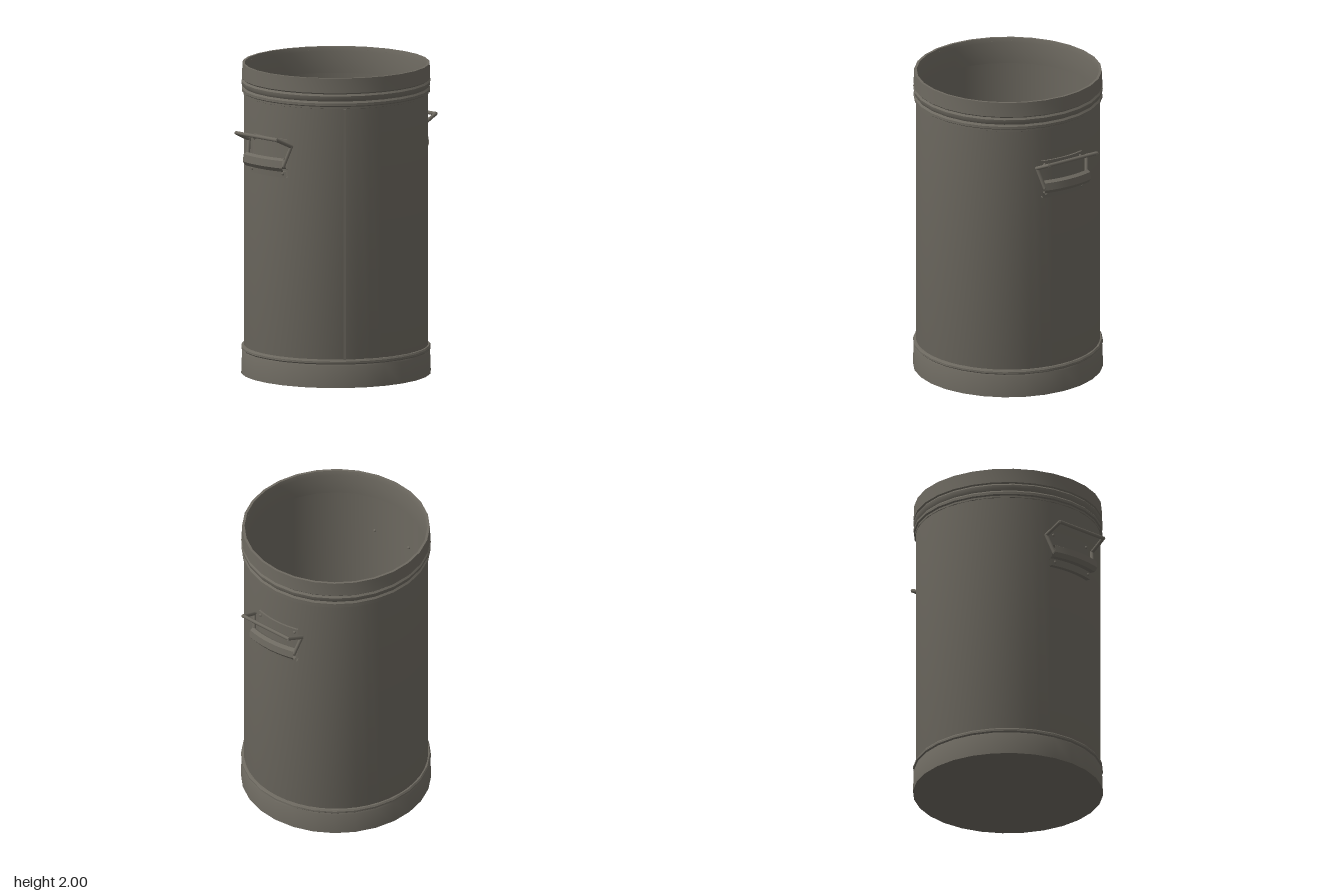
import * as THREE from 'three';
import { toCreasedNormals } from 'three/addons/utils/BufferGeometryUtils.js';

const metal = new THREE.MeshStandardMaterial({ color: 0x6d6960 });
metal.name = 'dull grey metal';
const sheetMetal = metal;
sheetMetal.side = THREE.DoubleSide;

function add(parent, geometry, name) {
  const mesh = new THREE.Mesh(geometry, metal);
  mesh.name = name;
  parent.add(mesh);
  return mesh;
}

// Revolved profile of [radius, height] pairs, optionally only an arc
function lathe(points, segments = 32, start = 0, length = Math.PI * 2) {
  const profile = points.map(([r, y]) => new THREE.Vector2(r, y));
  return toCreasedNormals(new THREE.LatheGeometry(profile, segments, start, length), 0.6);
}

// Straight round bar between two points
function bar(parent, a, b, radius, name) {
  const dir = b.clone().sub(a);
  const mesh = add(parent, new THREE.CylinderGeometry(radius, radius, dir.length() + radius, 8), name);
  mesh.position.copy(a).add(b).multiplyScalar(0.5);
  mesh.quaternion.setFromUnitVectors(new THREE.Vector3(0, 1, 0), dir.normalize());
}

// Handle on the +x side: bracket, rolled sleeve, swinging bail and rivets
function makeHandle(name) {
  const handle = new THREE.Group();
  handle.name = name;
  const half = 0.27;
  const arc = (points) => lathe(points, 8, Math.PI / 2 - half, half * 2);

  add(handle, arc([[0.588, 1.35], [0.6, 1.35], [0.6, 1.59], [0.588, 1.59]]), 'bracketPlate');
  add(handle, arc([[0.59, 1.345], [0.618, 1.345], [0.622, 1.39], [0.655, 1.39], [0.674, 1.415],
    [0.668, 1.462], [0.645, 1.475], [0.628, 1.465], [0.64, 1.43], [0.62, 1.405], [0.59, 1.395]]), 'rolledSleeve');

  const v = (x, y, z) => new THREE.Vector3(x, y, z);
  const path = [v(0.62, 1.425, 0.165), v(0.58, 1.55, 0.195), v(0.7, 1.605, 0.185),
    v(0.7, 1.605, -0.185), v(0.58, 1.55, -0.195), v(0.62, 1.425, -0.165)];
  path.forEach((p, i) => bar(handle, p, path[(i + 1) % path.length], 0.012, 'bailBar'));

  for (const z of [-0.14, 0.14]) {
    for (const y of [1.37, 1.565]) {
      const rivet = add(handle, new THREE.SphereGeometry(0.01, 8, 6), 'rivet');
      rivet.position.set(y < 1.5 ? 0.602 : 0.584, y, z);
    }
    // Rivet heads on the inside of the wall
    const head = add(handle, new THREE.SphereGeometry(0.01, 8, 6), 'innerRivet');
    head.position.set(0.557, 1.565, z);
  }
  return handle;
}

export function createModel() {
  const model = new THREE.Group();
  model.name = 'metalBin';

  // Hollow body with its floor, straight wall and inner face
  add(model, lathe([[0, 0], [0.58, 0], [0.587, 0.02], [0.587, 1.98], [0.577, 1.98],
    [0.577, 0.03], [0, 0.03]], 48), 'body');

  // Foot band with a raised bead on its upper edge
  add(model, lathe([[0, 0], [0.606, 0], [0.601, 0.14], [0.596, 0.15], [0.605, 0.158],
    [0.605, 0.17], [0.598, 0.18], [0.585, 0.182]], 28), 'footBand');

  // Top collar with two beads and a rolled rim
  add(model, lathe([[0.585, 1.8], [0.592, 1.803], [0.592, 1.815], [0.602, 1.822], [0.602, 1.838],
    [0.592, 1.85], [0.602, 1.865], [0.604, 1.885], [0.594, 1.897], [0.602, 1.905],
    [0.598, 2], [0.582, 2], [0.574, 1.97], [0.574, 1.83]], 28), 'collar');

  // Overlapping vertical seam in the sheet wall
  add(model, lathe([[0.585, 0.18], [0.592, 0.18], [0.592, 1.8], [0.585, 1.8]], 2, -0.68, 0.025), 'seam');

  // Handles on both sides
  model.add(makeHandle('leftHandle'));
  const right = makeHandle('rightHandle');
  right.rotation.y = Math.PI;
  model.add(right);
  return model;
}
